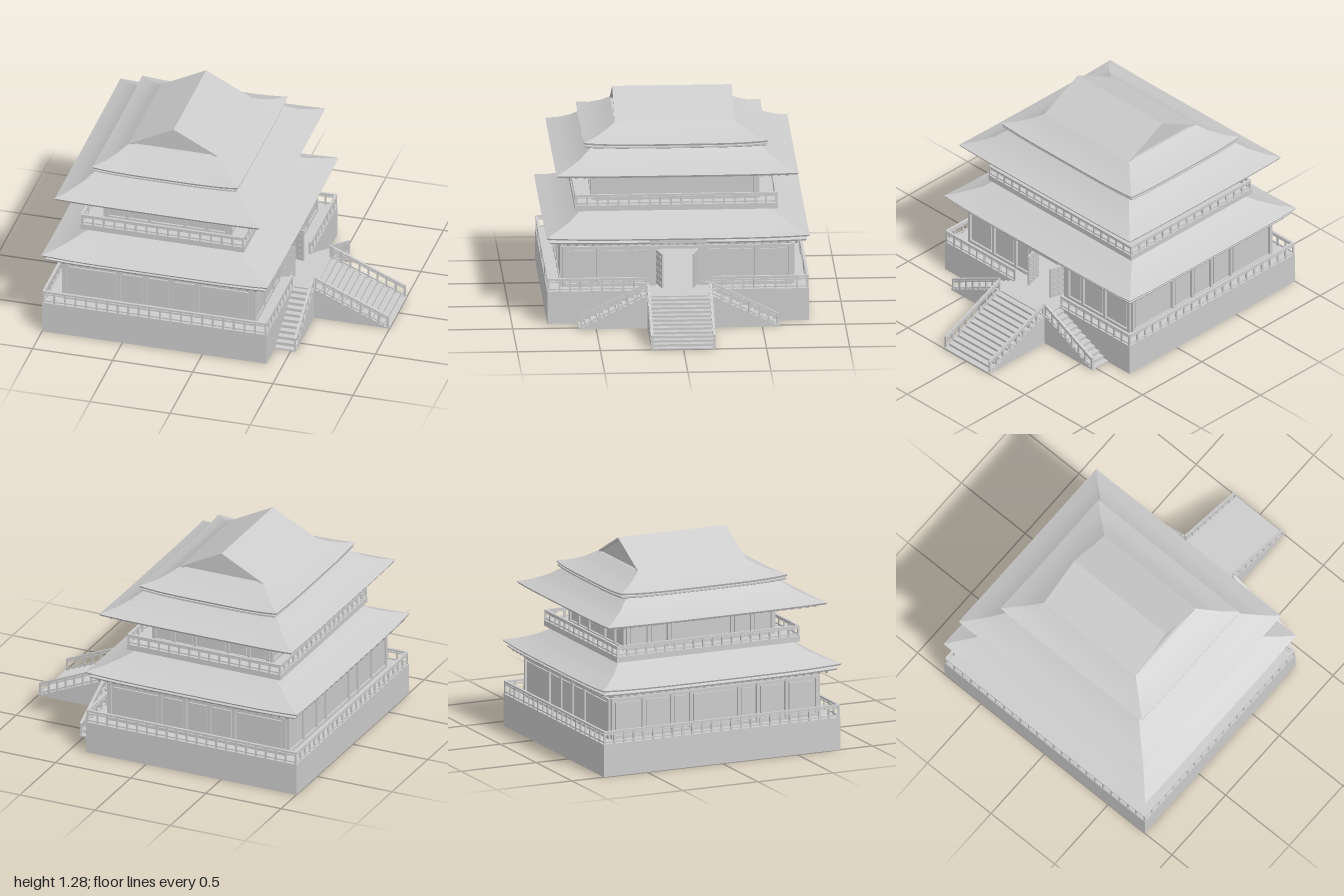
import * as THREE from 'three';
import { toCreasedNormals } from 'three/addons/utils/BufferGeometryUtils.js';

const mat = new THREE.MeshStandardMaterial({ color: 0xcccccc, side: THREE.DoubleSide });
const V = (x, y, z) => new THREE.Vector3(x, y, z);

function add(parent, geo, name, x = 0, y = 0, z = 0) {
  const m = new THREE.Mesh(geo, mat);
  m.name = name;
  m.position.set(x, y, z);
  parent.add(m);
  return m;
}
const box = (parent, name, w, h, d, x, y, z) =>
  add(parent, new THREE.BoxGeometry(w, h, d), name, x, y, z);

function group(parent, name) {
  const g = new THREE.Group();
  g.name = name;
  parent.add(g);
  return g;
}

// Square beam between two points
function bar(parent, name, a, b, w, h) {
  const m = new THREE.Mesh(new THREE.BoxGeometry(w, h, a.distanceTo(b)), mat);
  m.name = name;
  m.position.copy(a).add(b).multiplyScalar(0.5);
  m.lookAt(b);
  parent.add(m);
}

// Calls fn once per side: a group facing outwards, half width, distance, side number
function eachSide(parent, name, hx, hz, fn) {
  for (let k = 0; k < 4; k++) {
    const g = group(parent, name);
    g.rotation.y = (k * Math.PI) / 2;
    fn(g, k % 2 ? hz : hx, k % 2 ? hx : hz, k);
  }
}

// Railing along a floor line: posts, top bar and lower bars
function railing(parent, a, b, h) {
  const g = group(parent, 'railing');
  const up = (p, y) => V(p.x, p.y + y, p.z);
  const n = Math.max(2, Math.round(a.distanceTo(b) / 0.065));
  for (let i = 0; i <= n; i++) {
    const p = a.clone().lerp(b, i / n);
    box(g, 'railPost', 0.011, h, 0.011, p.x, p.y + h / 2, p.z);
  }
  bar(g, 'topRail', up(a, h - 0.006), up(b, h - 0.006), 0.016, 0.012);
  bar(g, 'middleRail', up(a, h * 0.72), up(b, h * 0.72), 0.008, 0.007);
  bar(g, 'bottomRail', up(a, 0.012), up(b, 0.012), 0.008, 0.008);
}

// Hipped roof lofted through rectangles [halfX, halfZ, y, cornerLift]
function hipRoof(parent, name, rows) {
  const pos = [], idx = [], n = 16;
  for (let k = 0; k < 4; k++) {
    const base = pos.length / 3;
    for (const [hx, hz, y, lift = 0] of rows) {
      for (let i = 0; i <= n; i++) {
        const t = (2 * i) / n - 1;
        const p = [[t * hx, hz], [hx, -t * hz], [-t * hx, -hz], [-hx, t * hz]][k];
        pos.push(p[0], y + lift * t ** 4, p[1]);
      }
    }
    for (let r = 0; r < rows.length - 1; r++) {
      for (let i = 0; i < n; i++) {
        const a = base + r * (n + 1) + i, d = a + n + 1;
        idx.push(a, a + 1, d + 1, a, d + 1, d);
      }
    }
  }
  const geo = new THREE.BufferGeometry();
  geo.setAttribute('position', new THREE.Float32BufferAttribute(pos, 3));
  geo.setIndex(idx);
  add(parent, toCreasedNormals(geo, 0.45), name);
}

// Sloping rafters from the wall [hx, hz, y] out to the eave [hx, hz, y]
function rafters(parent, wall, eave) {
  eachSide(parent, 'rafters', eave[0], eave[1], (g, half, dist, k) => {
    const w = wall[k % 2], d0 = wall[1 - (k % 2)];
    const n = Math.round(half / 0.025);
    for (let i = 1; i < n; i++) {
      const s = -half + (2 * half * i) / n;
      const start = d0 + Math.max(0, Math.abs(s) - w);
      if (dist - start < 0.015) continue;
      const f = (start - d0) / (dist - d0);
      bar(g, 'rafter', V(s, wall[2] + (eave[2] - wall[2]) * f, start), V(s, eave[2], dist), 0.015, 0.016);
    }
  });
}

// Timber frame with raised panels between the posts
function panelling(g, posts, dist, y0, y1, skip = -1) {
  for (const x of posts) box(g, 'wallPost', 0.018, y1 - y0, 0.03, x, (y0 + y1) / 2, dist);
  for (let i = 0; i < posts.length - 1; i++) {
    if (i === skip) continue;
    const w = posts[i + 1] - posts[i], c = (posts[i] + posts[i + 1]) / 2;
    box(g, 'lintel', w, 0.014, 0.026, c, y1 - 0.007, dist);
    box(g, 'sill', w, 0.02, 0.026, c, y0 + 0.01, dist);
    box(g, 'wallPanel', w - 0.04, y1 - y0 - 0.055, 0.01, c, (y0 + y1) / 2, dist + 0.004);
  }
}

// Stair flight descending along +x, with stringers and railings on the given sides
function flight(parent, name, len, width, steps, sides) {
  const g = group(parent, name), H = 0.2;
  const s = new THREE.Shape();
  s.moveTo(0, H - 0.02);
  for (let i = 0; i < steps; i++) {
    const y = H * (1 - (i + 0.5) / steps);
    s.lineTo((len * i) / steps, y);
    s.lineTo((len * (i + 1)) / steps, y);
  }
  s.lineTo(len, 0);
  s.lineTo(len - 0.03, 0);
  add(g, new THREE.ExtrudeGeometry(s, { depth: width, bevelEnabled: false }), 'steps', 0, 0, -width / 2);
  const tri = new THREE.Shape([new THREE.Vector2(0, 0), new THREE.Vector2(len, 0), new THREE.Vector2(0, H)]);
  for (const side of sides) {
    const z = side * (width / 2 - 0.006);
    add(g, new THREE.ExtrudeGeometry(tri, { depth: 0.012, bevelEnabled: false }), 'stringer', 0, 0, z - 0.006);
    railing(g, V(0.006, H, z), V(len - 0.012, 0.005, z), 0.08);
  }
  return g;
}

export function createModel() {
  const root = new THREE.Group();
  root.name = 'pavilion';
  const b = group(root, 'building');
  b.position.x = -0.3;

  // Hollow podium, open underneath
  hipRoof(b, 'podiumWalls', [[0.7, 0.787, 0], [0.7, 0.787, 0.2]]);
  const floor = add(b, new THREE.PlaneGeometry(1.4, 1.574), 'podiumFloor', 0, 0.2, 0);
  floor.rotation.x = -Math.PI / 2;
  eachSide(b, 'podiumEdge', 0.692, 0.779, (g, half, dist, k) => {
    const spans = k === 1 ? [[-half, -0.2], [0.2, half]] : [[-half, half]];
    for (const [p, q] of spans) railing(g, V(p, 0.2, dist), V(q, 0.2, dist), 0.08);
  });

  // Ground storey with a doorway facing the stairs
  eachSide(b, 'groundWall', 0.59, 0.69, (g, half, dist, k) => {
    if (k === 1) {
      for (const s of [-1, 1]) {
        box(g, 'wall', half - 0.13, 0.36, 0.02, s * (half + 0.13) / 2, 0.38, dist - 0.012);
        box(g, 'doorJamb', 0.025, 0.24, 0.04, s * 0.14, 0.32, dist - 0.01);
        const leaf = group(g, 'doorLeaf');
        leaf.position.set(s * 0.125, 0.315, dist - 0.02);
        leaf.rotation.y = s * 1.3;
        box(leaf, 'leafBoard', 0.12, 0.21, 0.01, -s * 0.06, 0, 0);
        for (let i = 0; i < 5; i++)
          for (let j = 0; j < 3; j++)
            box(leaf, 'stud', 0.012, 0.012, 0.018, -s * (0.025 + j * 0.035), -0.08 + i * 0.04, 0);
      }
      box(g, 'wallOverDoor', 0.26, 0.13, 0.02, 0, 0.495, dist - 0.012);
      box(g, 'doorHead', 0.3, 0.016, 0.04, 0, 0.438, dist - 0.01);
      box(g, 'eaveBoard', 0.345, 0.035, 0.012, 0, 0.507, 0.688);
      panelling(g, [-0.68, -0.475, -0.285, -0.16, 0.16, 0.285, 0.475, 0.68], dist, 0.2, 0.45, 3);
    } else {
      box(g, 'wall', half * 2 - 0.004, 0.36, 0.02, 0, 0.38, dist - 0.012);
      panelling(g, k === 3 ? [-0.68, -0.475, -0.285, -0.16, 0.16, 0.285, 0.475, 0.68]
        : [-0.58, -0.245, -0.08, 0.08, 0.245, 0.58], dist, 0.2, 0.45);
    }
    box(g, 'wallBeam', half * 2, 0.022, 0.028, 0, 0.475, dist);
  });

  // Lower roof with a second eave beneath
  hipRoof(b, 'lowerRoof', [[0.57, 0.67, 0.555], [0.7, 0.787, 0.512, 0.012], [0.705, 0.792, 0.522, 0.012],
    [0.63, 0.725, 0.548, 0.006], [0.54, 0.64, 0.59, 0.002], [0.44, 0.56, 0.65], [0.38, 0.48, 0.66]]);
  hipRoof(b, 'lowerEave', [[0.58, 0.68, 0.535], [0.68, 0.77, 0.484, 0.008], [0.685, 0.775, 0.494, 0.008], [0.58, 0.68, 0.545]]);
  rafters(b, [0.58, 0.68, 0.522], [0.672, 0.762, 0.482]);

  // Balcony
  box(b, 'balconySlab', 1.02, 0.035, 1.22, 0, 0.663, 0);
  eachSide(b, 'balconyEdge', 0.502, 0.602, (g, half, dist) =>
    railing(g, V(-half, 0.68, dist), V(half, 0.68, dist), 0.066));

  // Upper storey
  box(b, 'upperWalls', 0.77, 0.3, 0.98, 0, 0.81, 0);
  eachSide(b, 'upperFrame', 0.385, 0.49, (g, half, dist, k) =>
    panelling(g, k % 2 ? [-0.48, -0.345, -0.21, 0.21, 0.345, 0.48]
      : [-0.375, -0.25, -0.11, 0.11, 0.25, 0.375], dist, 0.68, 0.89));

  // Upper roof
  hipRoof(b, 'upperRoof', [[0.385, 0.49, 0.965], [0.634, 0.722, 0.886, 0.006], [0.64, 0.728, 0.898, 0.006],
    [0.57, 0.655, 0.925, 0.003], [0.5, 0.58, 0.965], [0.43, 0.51, 1.02], [0.3, 0.4, 1.03]]);
  rafters(b, [0.385, 0.49, 0.95], [0.62, 0.71, 0.886]);

  // Top hipped skirt with doubled eave
  hipRoof(b, 'topEave', [[0.36, 0.46, 1.02], [0.435, 0.54, 1.008, 0.012], [0.445, 0.55, 1.014, 0.012],
    [0.445, 0.55, 1.024, 0.012], [0.36, 0.46, 1.04]]);
  hipRoof(b, 'topSkirt', [[0.36, 0.46, 1.045], [0.45, 0.55, 1.03, 0.014], [0.455, 0.555, 1.042, 0.014],
    [0.39, 0.485, 1.065, 0.006], [0.33, 0.415, 1.1], [0.28, 0.36, 1.135], [0.2, 0.3, 1.135]]);

  // Gabled crown: slanted roof slabs over a recessed gable
  const P = (x, y) => new THREE.Vector2(x, y);
  const slabs = new THREE.Shape([P(-0.28, 1.135), P(-0.26, 1.132), P(0, 1.266), P(0.26, 1.132), P(0.28, 1.135), P(0, 1.28)]);
  add(b, new THREE.ExtrudeGeometry(slabs, { depth: 0.72, bevelEnabled: false }), 'gableRoof', 0, 0, -0.36);
  const gable = new THREE.Shape([P(-0.265, 1.13), P(0.265, 1.13), P(0, 1.27)]);
  add(b, new THREE.ExtrudeGeometry(gable, { depth: 0.69, bevelEnabled: false }), 'gableWall', 0, 0, -0.345);

  // Landing and three stair flights
  box(root, 'landing', 0.13, 0.02, 0.385, 0.465, 0.19, 0);
  flight(root, 'mainStairs', 0.47, 0.385, 13, [-1, 1]).position.set(0.53, 0, 0);
  for (const s of [-1, 1]) {
    const f = flight(root, 'sideStairs', 0.412, 0.13, 11, [s]);
    f.position.set(0.465, 0, -s * 0.192);
    f.rotation.y = (s * Math.PI) / 2;
  }
  return root;
}
